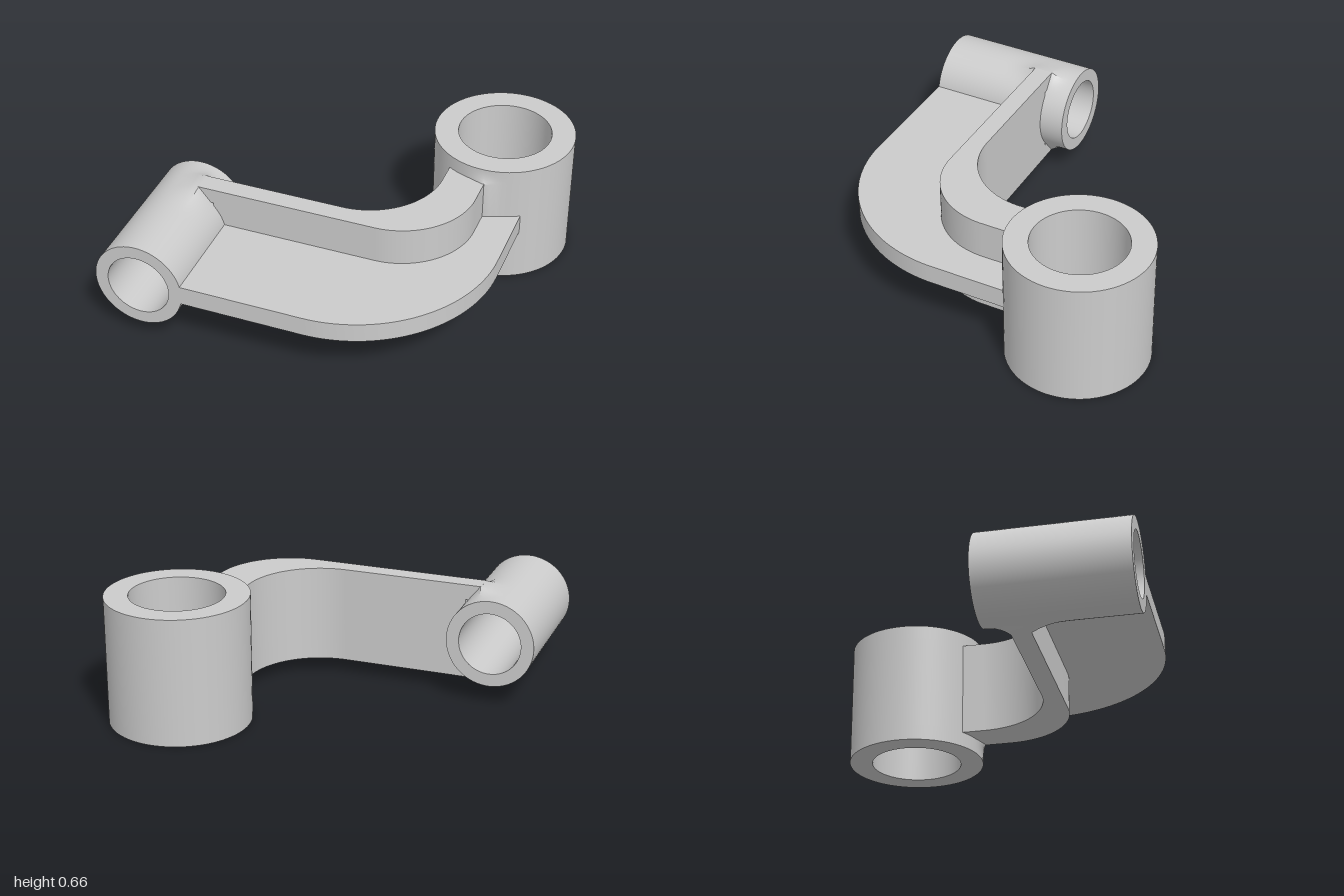
import * as THREE from 'three';
import { toCreasedNormals } from 'three/addons/utils/BufferGeometryUtils.js';

const material = new THREE.MeshStandardMaterial({ color: 0xcccccc });

function addMesh(group, name, geometry) {
  const mesh = new THREE.Mesh(toCreasedNormals(geometry, 0.45), material);
  mesh.name = name;
  group.add(mesh);
  return mesh;
}

// Hollow sleeve along y from a to b. Between c and d its outside swells into
// pointed ridges (tangent planes meeting at distance "peak"), fading to the ends.
function sleeve({ outer, inner, a, b, c, d, fade, peak, ridges }) {
  const points = [new THREE.Vector2(inner, a), new THREE.Vector2(outer, a)];
  const low = Math.max(a, c - fade), high = Math.min(b, d + fade);
  for (let i = 0; i <= 6; i++) points.push(new THREE.Vector2(outer, low + (c - low) * i / 6));
  for (let i = 0; i <= 6; i++) points.push(new THREE.Vector2(outer, d + (high - d) * i / 6));
  points.push(new THREE.Vector2(outer, b), new THREE.Vector2(inner, b), new THREE.Vector2(inner, a));
  const unique = points.filter((p, i) => i === 0 || p.distanceTo(points[i - 1]) > 1e-5);
  const geometry = new THREE.LatheGeometry(unique, 72);
  const pos = geometry.attributes.position;
  const spread = Math.acos(outer / peak);
  for (let i = 0; i < pos.count; i++) {
    const x = pos.getX(i), y = pos.getY(i), z = pos.getZ(i);
    if (Math.hypot(x, z) < (outer + inner) / 2) continue;
    const t = y < c ? (c - y) / (c - low) : y > d ? (y - d) / (high - d) : 0;
    const f = Math.pow(Math.max(0, 1 - t), 2.5);
    const angle = Math.atan2(z, x);
    let scale = 1;
    for (const ridge of ridges) {
      const off = Math.abs(angle - ridge);
      if (off < spread) scale += f * (1 / Math.cos(spread - off) - 1);
    }
    pos.setXYZ(i, x * scale, y, z * scale);
  }
  return geometry;
}

// Plan outline drawn in (x, -z), raised from y0 to y1
function slab(shape, y0, y1) {
  const geometry = new THREE.ExtrudeGeometry(shape, { depth: y1 - y0, bevelEnabled: false, curveSegments: 24 });
  return geometry.rotateX(-Math.PI / 2).translate(0, y0, 0);
}

// L-shaped plan with rounded bend; the outer edge is given by z, x and bend radius
function bentPlan(startX, outerZ, outerX, radius) {
  const s = new THREE.Shape();
  s.moveTo(startX, -outerZ);
  s.lineTo(outerX - radius, -outerZ);
  s.absarc(outerX - radius, -(outerZ - radius), radius, -Math.PI / 2, 0, false);
  s.lineTo(outerX, 0.27);
  s.lineTo(0.44, 0.27);
  s.lineTo(0.44, 0.12);
  s.absarc(0.05, 0.12, 0.39, 0, -Math.PI / 2, true);
  s.lineTo(startX, -0.27);
  s.closePath();
  return s;
}

export function createModel() {
  const model = new THREE.Group();
  model.name = 'bellCrankArm';

  // Large upright sleeve
  const upright = addMesh(model, 'uprightSleeve', sleeve({
    outer: 0.362, inner: 0.24, a: 0, b: 0.66, c: 0.08, d: 0.585, fade: 0.08,
    peak: 0.384, ridges: [Math.PI / 2],
  }));
  upright.position.set(0.637, 0, -0.54);

  // Small sleeve lying front to back, swelling to meet the tall web
  const cross = addMesh(model, 'crossSleeve', sleeve({
    outer: 0.23, inner: 0.163, a: 0.14, b: 0.9, c: 0.27, d: 0.37, fade: 0.2,
    peak: 0.272, ridges: [1.234, -1.234],
  }).rotateX(Math.PI / 2));
  cross.position.set(-0.77, 0.333, 0);

  // Tall curved web and the flat flange along its front
  addMesh(model, 'web', slab(bentPlan(-0.6, 0.37, 0.645, 0.39), 0.08, 0.587));
  addMesh(model, 'flange', slab(bentPlan(-0.58, 0.9, 0.825, 0.74), 0.282, 0.385));

  // Web corners that reach over and under the cross sleeve
  for (const y of [0.12, 0.547]) {
    const corner = addMesh(model, 'webCorner', new THREE.BoxGeometry(0.09, 0.08, 0.1));
    corner.position.set(-0.635, y, 0.32);
  }
  return model;
}
